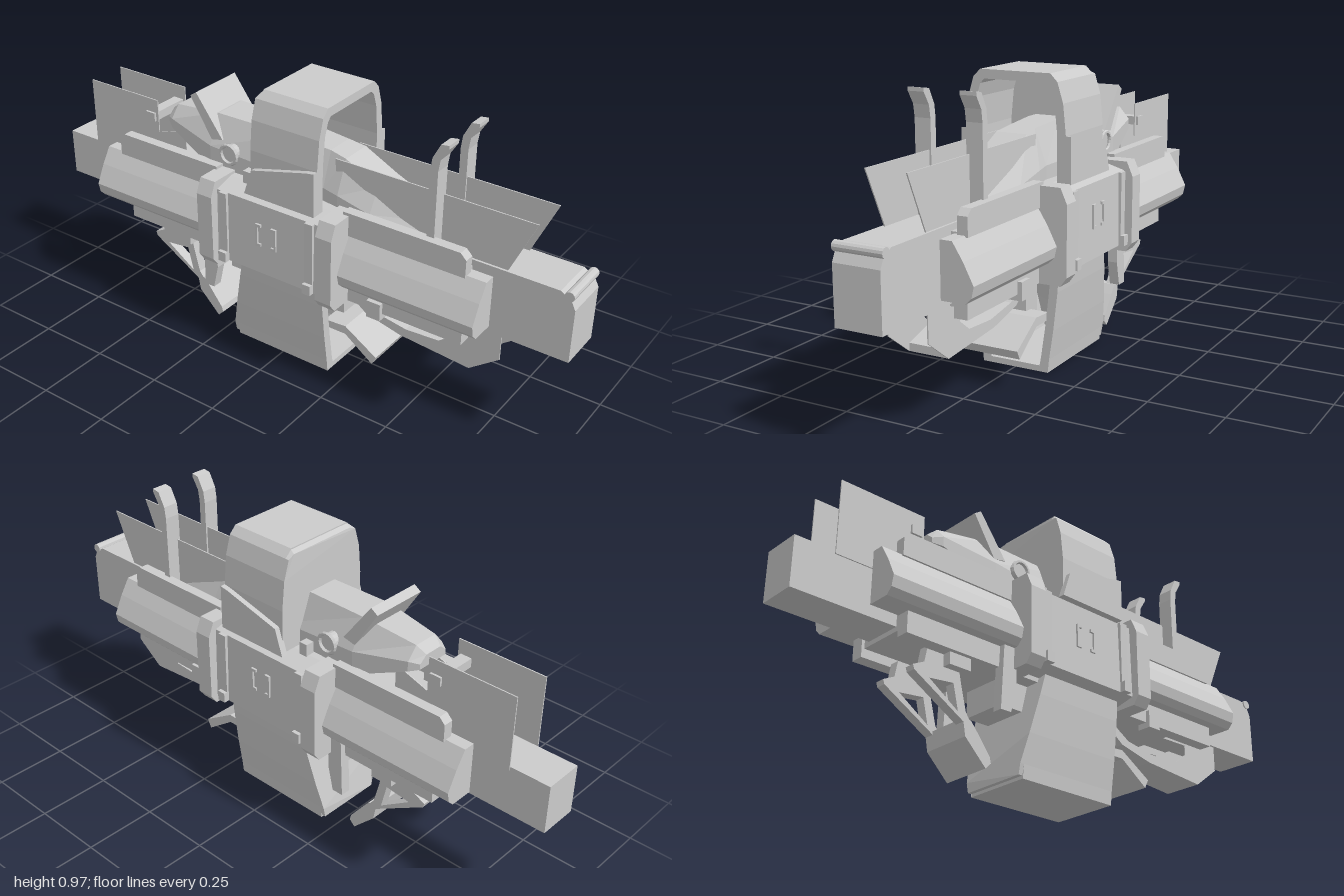
import * as THREE from 'three';

const mat = new THREE.MeshStandardMaterial({ color: 0xcccccc, flatShading: true, side: THREE.DoubleSide });

export function createModel() {
  const model = new THREE.Group();
  const add = (name, geo) => {
    const m = new THREE.Mesh(geo, mat);
    m.name = name;
    model.add(m);
    return m;
  };
  const outline = (pts) => new THREE.Shape(pts.map(([a, b]) => new THREE.Vector2(a, b)));
  const extrude = (shape, d) => new THREE.ExtrudeGeometry(shape, { depth: d, bevelEnabled: false });
  // Side outline (x, y) given thickness from z0 to z1
  const prism = (name, pts, z0, z1, hole) => {
    const s = outline(pts);
    if (hole) s.holes.push(outline(hole));
    return add(name, extrude(s, z1 - z0).translate(0, 0, z0));
  };
  // Cross-section (z, y) swept from x0 to x1
  const beam = (name, pts, x0, x1) =>
    add(name, extrude(outline(pts.map(([z, y]) => [-z, y])), x1 - x0).rotateY(Math.PI / 2).translate(x0, 0, 0));
  const box = (name, x0, x1, y0, y1, z0, z1) =>
    add(name, new THREE.BoxGeometry(x1 - x0, y1 - y0, Math.abs(z1 - z0))
      .translate((x0 + x1) / 2, (y0 + y1) / 2, (z0 + z1) / 2));
  // Mirror a half cross-section about z = 0
  const sym = (half) => [...half, ...half.slice().reverse().map(([z, y]) => [-z, y])];
  const pair = (fn) => [1, -1].forEach(fn);
  // Plate pair between distances a and b from the centre plane
  const plates = (name, pts, a, b, hole) => pair((s) => prism(name, pts, s > 0 ? a : -b, s > 0 ? b : -a, hole));
  const boxes = (name, x0, x1, y0, y1, a, b) => pair((s) => box(name, x0, x1, y0, y1, s * a, s * b));

  // Inner frame
  box('core', -0.64, 0.67, 0.36, 0.58, -0.1, 0.1);
  box('underFrame', -0.4, 0.5, 0.33, 0.37, -0.13, 0.13);
  boxes('lowerRail', -0.65, -0.2, 0.33, 0.4, 0.09, 0.135);
  boxes('lowerRail', 0.2, 0.68, 0.33, 0.4, 0.09, 0.135);
  box('lowerBlock', -0.25, -0.13, 0.24, 0.36, -0.08, 0.08);

  // Long side rails with a pointed outer edge
  pair((s) => beam('sideRail',
    [[0.09, 0.575], [0.13, 0.575], [0.165, 0.52], [0.198, 0.455], [0.19, 0.42], [0.17, 0.4], [0.09, 0.4]]
      .map(([z, y]) => [s * z, y]), -0.75, 0.745));

  // Slim upper strips above the rails
  const strip = [[0, 0.57], [0.43, 0.57], [0.43, 0.63], [0.41, 0.65], [0, 0.65]];
  pair((d) => plates('upperStrip', strip.map(([x, y]) => [d * (x + 0.25), y]), 0.105, 0.14));

  // Central clamp: core plate, two collars and face details
  beam('clampBody', sym([[0.13, 0.63], [0.2, 0.61], [0.205, 0.36], [0.14, 0.345]]), -0.21, 0.22);
  const collar = sym([[0.14, 0.64], [0.21, 0.64], [0.232, 0.59], [0.232, 0.36], [0.21, 0.33], [0.14, 0.33]]);
  [-0.26, 0.21].forEach((x) => beam('collar', collar, x, x + 0.06));
  [-0.17, 0.17].forEach((x) => {
    boxes('clampRib', x - 0.015, x + 0.015, 0.38, 0.61, 0.2, 0.212);
    boxes('collarTab', x - 0.015, x + 0.015, 0.36, 0.395, 0.2, 0.225);
  });
  pair((d) => plates('faceBracket', [[0.04, 0.54], [0.02, 0.54], [0.02, 0.53], [0.033, 0.53], [0.033, 0.47],
    [0.02, 0.47], [0.02, 0.46], [0.04, 0.46]].map(([x, y]) => [d * x, y]), 0.2, 0.209));

  // Upper hood: an arch closed on the -x side and open on the other
  const arch = [[0.18, 0.63], [0.18, 0.78], [0.17, 0.88], [0.15, 0.945], [0.125, 0.97]];
  const inner = [[0.15, 0.63], [0.15, 0.78], [0.14, 0.88], [0.125, 0.925], [0.11, 0.94]];
  const shell = [...sym(arch), ...sym(inner).reverse()];
  beam('hood', shell, -0.06, 0.18);
  const back = beam('hoodBack', sym(arch), -0.075, -0.055);
  // round the rear top edge
  const bp = back.geometry.attributes.position;
  for (let i = 0; i < bp.count; i++) if (bp.getX(i) < -0.07 && bp.getY(i) > 0.96) bp.setXYZ(i, -0.073, 0.955, bp.getZ(i));
  plates('hoodFlap', [[-0.09, 0.63], [0.18, 0.63], [0.18, 0.78], [0.15, 0.775], [-0.06, 0.72]], 0.175, 0.198);

  // Lower skirt: tapered trough whose -x wall leans outward
  const lean = (mesh) => {
    const p = mesh.geometry.attributes.position;
    for (let i = 0; i < p.count; i++) {
      if (p.getX(i) < 0) p.setX(i, p.getX(i) - 0.07 * Math.min(1, (0.35 - p.getY(i)) / 0.3));
    }
    mesh.geometry.computeVertexNormals();
  };
  const wall = [[0.16, 0.35], [0.155, 0.28], [0.14, 0.15], [0.125, 0.05], [0.12, 0.005]];
  const wallIn = [[0.13, 0.35], [0.125, 0.28], [0.11, 0.15], [0.095, 0.05], [0.09, 0.025]];
  lean(beam('skirt', [...sym(wall), ...sym(wallIn).reverse()], -0.12, 0.185));
  lean(beam('skirtBack', sym([...wall.slice(0, 4), [0.118, 0.015]]), -0.135, -0.11));

  // Tapering upper body lofted along x: x, bottom, top, half width
  const stations = [[-0.52, 0.71, 0.75, 0.06], [-0.49, 0.7, 0.775, 0.08], [-0.3, 0.62, 0.8, 0.11],
    [0, 0.58, 0.8, 0.1], [0.14, 0.58, 0.79, 0.09], [0.2, 0.58, 0.78, 0.1], [0.32, 0.58, 0.72, 0.1], [0.5, 0.58, 0.655, 0.075]];
  const ring = [[0.55, 1], [1, 0.45], [1, 0], [-1, 0], [-1, 0.45], [-0.55, 1]];
  const pos = [], idx = [], n = ring.length;
  stations.forEach(([x, b, t, w], i) => ring.forEach(([u, v], j) => {
    pos.push(x, b + v * (t - b), u * w);
    if (i < stations.length - 1) {
      const k = (j + 1) % n, a = i * n;
      idx.push(a + j, a + k, a + n + j, a + k, a + n + k, a + n + j);
    }
  }));
  for (let j = 1; j < n - 1; j++) {
    const e = (stations.length - 1) * n;
    idx.push(0, j + 1, j, e, e + j, e + j + 1);
  }
  const loft = new THREE.BufferGeometry();
  loft.setAttribute('position', new THREE.Float32BufferAttribute(pos, 3));
  loft.setIndex(idx);
  const solid = loft.toNonIndexed();
  solid.computeVertexNormals();
  add('upperBody', solid);

  // Tilted fin and ring sights on the upper body
  prism('tiltedFin', [[-0.385, 0.855], [-0.36, 0.872], [-0.255, 0.73], [-0.3, 0.72]], -0.1, 0.1);
  pair((s) => {
    const r = add('ringSight', new THREE.TorusGeometry(0.032, 0.007, 6, 16));
    r.position.set(-0.21, 0.7, s * 0.125);
    const p = add('ringPin', new THREE.CylinderGeometry(0.028, 0.028, 0.04, 16).rotateX(Math.PI / 2));
    p.position.set(-0.21, 0.7, s * 0.1);
  });
  boxes('ringPost', -0.14, -0.11, 0.6, 0.67, 0.11, 0.14);

  // Rear (-x) end: box and thin side panels
  box('rearBox', -1, -0.62, 0.375, 0.54, -0.068, 0.068);
  plates('rearPanel', [[-0.865, 0.53], [-0.865, 0.778], [-0.56, 0.778], [-0.56, 0.66], [-0.44, 0.7], [-0.44, 0.53]], 0.068, 0.072);
  box('rearPanelBridge', -0.61, -0.57, 0.7, 0.73, -0.08, 0.08);

  // Front (+x) end: box with small cross pin
  prism('frontBox', [[0.6, 0.37], [1, 0.37], [1, 0.55], [0.985, 0.58], [0.95, 0.6], [0.6, 0.6]], -0.078, 0.078);
  const pin = add('crossPin', new THREE.CylinderGeometry(0.016, 0.016, 0.165, 12).rotateX(Math.PI / 2));
  pin.position.set(0.98, 0.592, 0);

  // Thin panels with a looped lower guard
  plates('frontPanel', [[0.17, 0.778], [0.86, 0.778], [0.78, 0.6], [0.78, 0.28], [0.68, 0.205], [0.43, 0.225], [0.3, 0.255],
    [0.19, 0.335], [0.19, 0.6]], 0.066, 0.07,
  [[0.24, 0.33], [0.33, 0.275], [0.45, 0.255], [0.57, 0.262], [0.62, 0.3], [0.62, 0.335]]);
  prism('guardLoop', [[0.19, 0.34], [0.3, 0.255], [0.43, 0.225], [0.68, 0.205], [0.68, 0.23], [0.57, 0.262],
    [0.45, 0.255], [0.33, 0.275], [0.24, 0.34]], -0.066, 0.066);

  // Upright bent blades
  plates('uprightBlade', [[0.53, 0.6], [0.53, 0.87], [0.535, 0.91], [0.56, 0.958], [0.587, 0.962], [0.587, 0.95],
    [0.562, 0.91], [0.556, 0.87], [0.556, 0.6]], 0.06, 0.115);
  boxes('bladeFoot', 0.5, 0.62, 0.57, 0.62, 0.055, 0.12);

  // Rear hook: twin arms meeting at a foot
  plates('hookArm', [[-0.54, 0.34], [-0.55, 0.285], [-0.59, 0.265], [-0.585, 0.25], [-0.4, 0.14], [-0.36, 0.13],
    [-0.39, 0.17], [-0.41, 0.25], [-0.43, 0.34]], 0.055, 0.09,
  [[-0.53, 0.24], [-0.42, 0.165], [-0.44, 0.25]]);
  prism('hookFoot', [[-0.4, 0.15], [-0.39, 0.095], [-0.31, 0.015], [-0.29, 0.035], [-0.295, 0.055], [-0.345, 0.12], [-0.37, 0.15]], -0.09, 0.09);
  plates('downStrut', [[-0.3, 0.4], [-0.31, 0.185], [-0.27, 0.185], [-0.25, 0.27], [-0.25, 0.4]], 0.12, 0.155);

  // Forward step plate, chamfered at its lower corners
  const step = prism('stepPlate', [[0.17, 0.205], [0.25, 0.21], [0.37, 0.135], [0.355, 0.105], [0.25, 0.18], [0.17, 0.18]], -0.115, 0.115);
  step.geometry.computeVertexNormals();
  box('stepBracket', 0.13, 0.2, 0.18, 0.35, -0.05, 0.05);

  // Small fittings beneath the rails
  boxes('lowerLug', 0.35, 0.4, 0.31, 0.37, 0.1, 0.15);
  boxes('lowerLug', -0.48, -0.4, 0.29, 0.34, 0.08, 0.12);

  return model;
}
